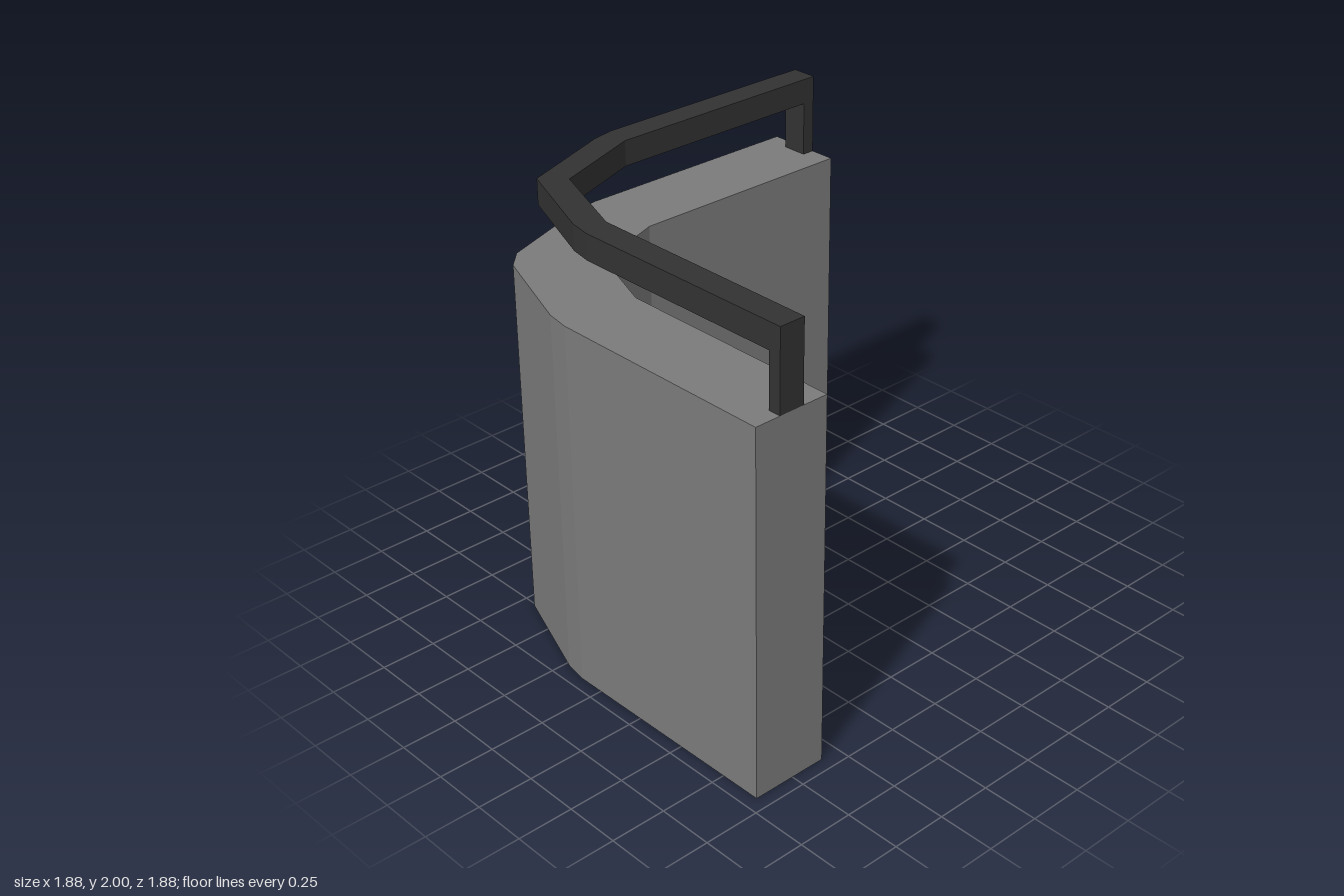
import * as THREE from 'three';

const wallGrey = new THREE.MeshStandardMaterial({ name: 'wall grey', color: 0x7b7b7b });
const railCharcoal = new THREE.MeshStandardMaterial({ name: 'rail charcoal', color: 0x323232 });

// Swap x and z: the corner is symmetric about its diagonal
const mirror = (points) => points.map(([x, z]) => [z, x]).reverse();

// Corner strip from half plans of its outer and inner edges, [x, z];
// tip is the inner corner on the diagonal
function cornerStrip(name, outer, inner, tip, y0, y1, material) {
  const plan = [...outer, ...mirror(outer), ...mirror(inner), [tip, tip], ...inner];
  const shape = new THREE.Shape(plan.map(([x, z]) => new THREE.Vector2(x, -z)));
  const geometry = new THREE.ExtrudeGeometry(shape, { depth: y1 - y0, bevelEnabled: false });
  geometry.rotateX(-Math.PI / 2).translate(0, y0, 0);
  const mesh = new THREE.Mesh(geometry, material);
  mesh.name = name;
  return mesh;
}

function post(name, width, depth, x, z) {
  const mesh = new THREE.Mesh(new THREE.BoxGeometry(width, 0.242, depth), railCharcoal);
  mesh.name = name;
  mesh.position.set(x, 1.767, z);
  return mesh;
}

export function createModel() {
  const model = new THREE.Group();
  model.name = 'cornerWall';

  // Solid wall turning the corner
  model.add(cornerStrip('wall',
    [[0.94, -0.94], [-0.12, -0.943], [-0.23, -0.925], [-0.68, -0.76]],
    [[-0.12, -0.59], [0.94, -0.59]], -0.463, 0, 1.647, wallGrey));

  // Handrail following the wall
  model.add(cornerStrip('handrail',
    [[0.94, -0.823], [-0.11, -0.828], [-0.21, -0.81], [-0.645, -0.645]],
    [[-0.14, -0.706], [0.94, -0.706]], -0.553, 1.887, 2, railCharcoal));

  // End posts carrying the rail
  model.add(post('leftPost', 0.057, 0.116, 0.9115, -0.765));
  model.add(post('rightPost', 0.116, 0.057, -0.765, 0.9115));
  return model;
}
